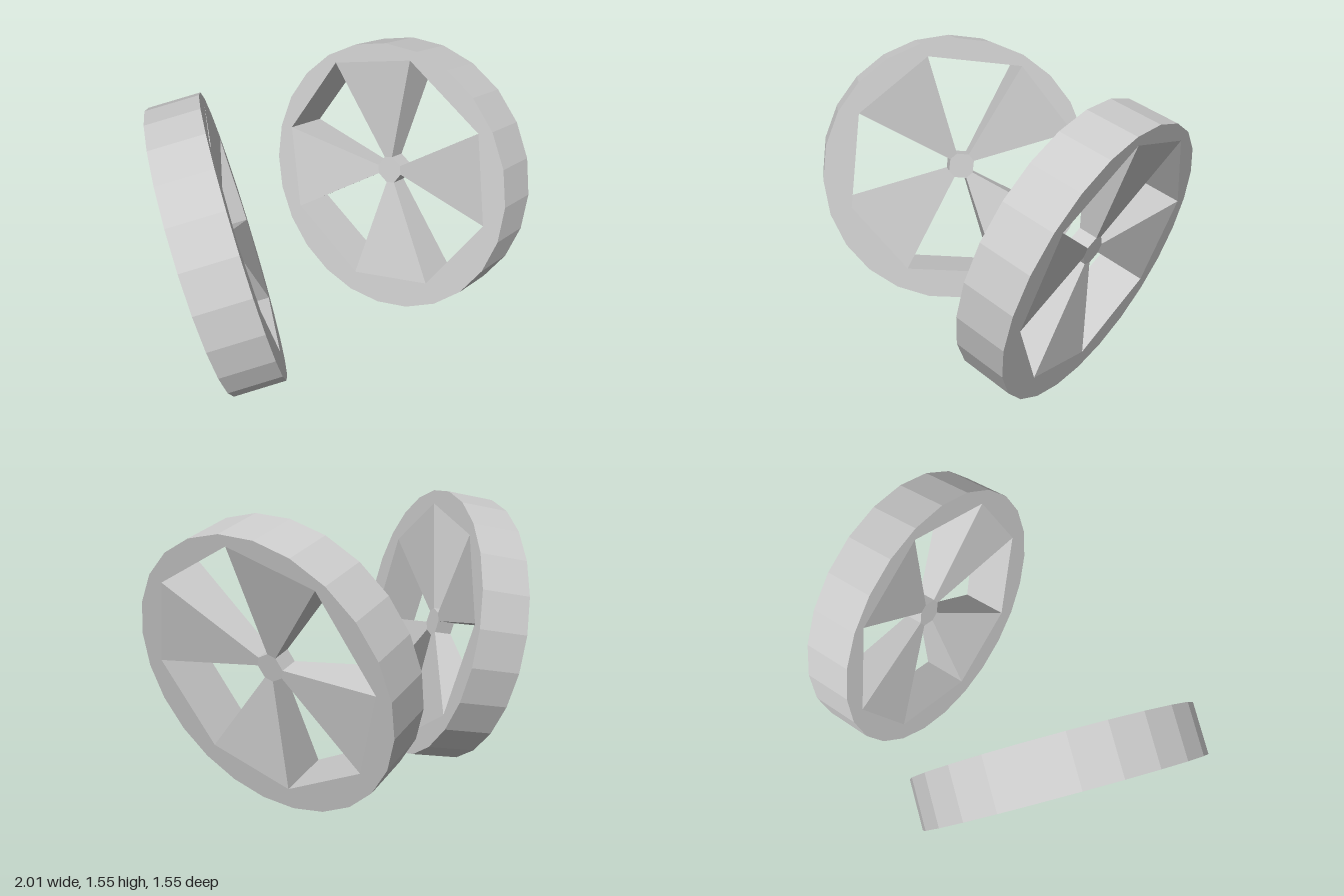
import * as THREE from 'three';

const RADIUS = 0.765, HALF = 0.137, DISH = 0.087, SIDES = 24;

// 24-sided disc with four tapered openings; the spokes slope in to a thinner hub on both sides
function wheelGeometry() {
  const positions = [];
  const mirror = (p) => new THREE.Vector3(p.x, p.y, -p.z);
  const triangle = (...corners) => corners.forEach((p) => positions.push(p.x, p.y, p.z));
  // A face on the front side and its twin on the back
  const faces = (...p) => {
    for (let i = 1; i < p.length - 1; i++) {
      triangle(p[0], p[i], p[i + 1]);
      triangle(mirror(p[0]), mirror(p[i + 1]), mirror(p[i]));
    }
  };
  // A wall from a front edge through to the back
  const wall = (a, b) => {
    triangle(a, mirror(a), mirror(b));
    triangle(a, mirror(b), b);
  };
  // Eight corners, two for each opening, set slightly off the disc's centre
  const octagon = (halfWidth, distance, z) => {
    const points = [];
    for (let k = 0; k < 4; k++) {
      for (const side of [1, -1]) {
        const p = new THREE.Vector2(side * halfWidth, distance);
        p.rotateAround(new THREE.Vector2(), k * Math.PI / 2);
        points.push(new THREE.Vector3(p.x + 0.025, p.y + 0.025, z));
      }
    }
    return points;
  };

  const rim = [];
  for (let i = 0; i < SIDES; i++) {
    const a = ((i + 0.5) / SIDES) * Math.PI * 2;
    rim.push(new THREE.Vector3(Math.cos(a) * RADIUS, Math.sin(a) * RADIUS, HALF));
  }
  const outer = octagon(0.269, 0.618, HALF);
  const hub = octagon(0.035, 0.07, HALF - DISH);

  // Rim tread and its flat side rings
  rim.forEach((p, i) => wall(p, rim[(i + 1) % SIDES]));
  const inner = [...outer].reverse();
  const ringPoints = [...rim, ...inner];
  THREE.ShapeUtils.triangulateShape([...rim], [[...inner]])
    .forEach((face) => faces(...face.map((i) => ringPoints[i])));

  // Hub, spokes and the walls of the openings
  faces(...hub);
  for (let k = 0; k < 8; k += 2) {
    const left = k + 1, next = (k + 2) % 8;
    faces(outer[left], outer[next], hub[next], hub[left]);
    wall(hub[k], hub[left]);
    wall(outer[k], hub[k]);
    wall(hub[left], outer[left]);
    wall(outer[left], outer[k]);
  }

  const geometry = new THREE.BufferGeometry();
  geometry.setAttribute('position', new THREE.Float32BufferAttribute(positions, 3));
  geometry.computeVertexNormals();
  return geometry;
}

// Places a wheel by its centre, axle direction and the direction of one opening
function makeWheel(name, geometry, material, centre, axle, opening) {
  const wheel = new THREE.Mesh(geometry, material);
  wheel.name = name;
  const z = new THREE.Vector3(...axle).normalize();
  const x = new THREE.Vector3(...opening).cross(z).normalize();
  const y = new THREE.Vector3().crossVectors(z, x);
  wheel.quaternion.setFromRotationMatrix(new THREE.Matrix4().makeBasis(x, y, z));
  wheel.position.set(...centre);
  return wheel;
}

export function createModel() {
  const group = new THREE.Group();
  group.name = 'wheelPair';
  const geometry = wheelGeometry();
  const material = new THREE.MeshStandardMaterial({ color: 0xcccccc, flatShading: true });

  group.add(
    makeWheel('rightWheel', geometry, material,
      [-0.54, 0.778, -0.005], [0.896, 0.221, 0.386], [-0.132, 0.962, -0.241]),
    makeWheel('leftWheel', geometry, material,
      [0.62, 0.778, 0], [0.941, -0.214, -0.261], [0.304, 0.87, 0.39]),
  );
  return group;
}
